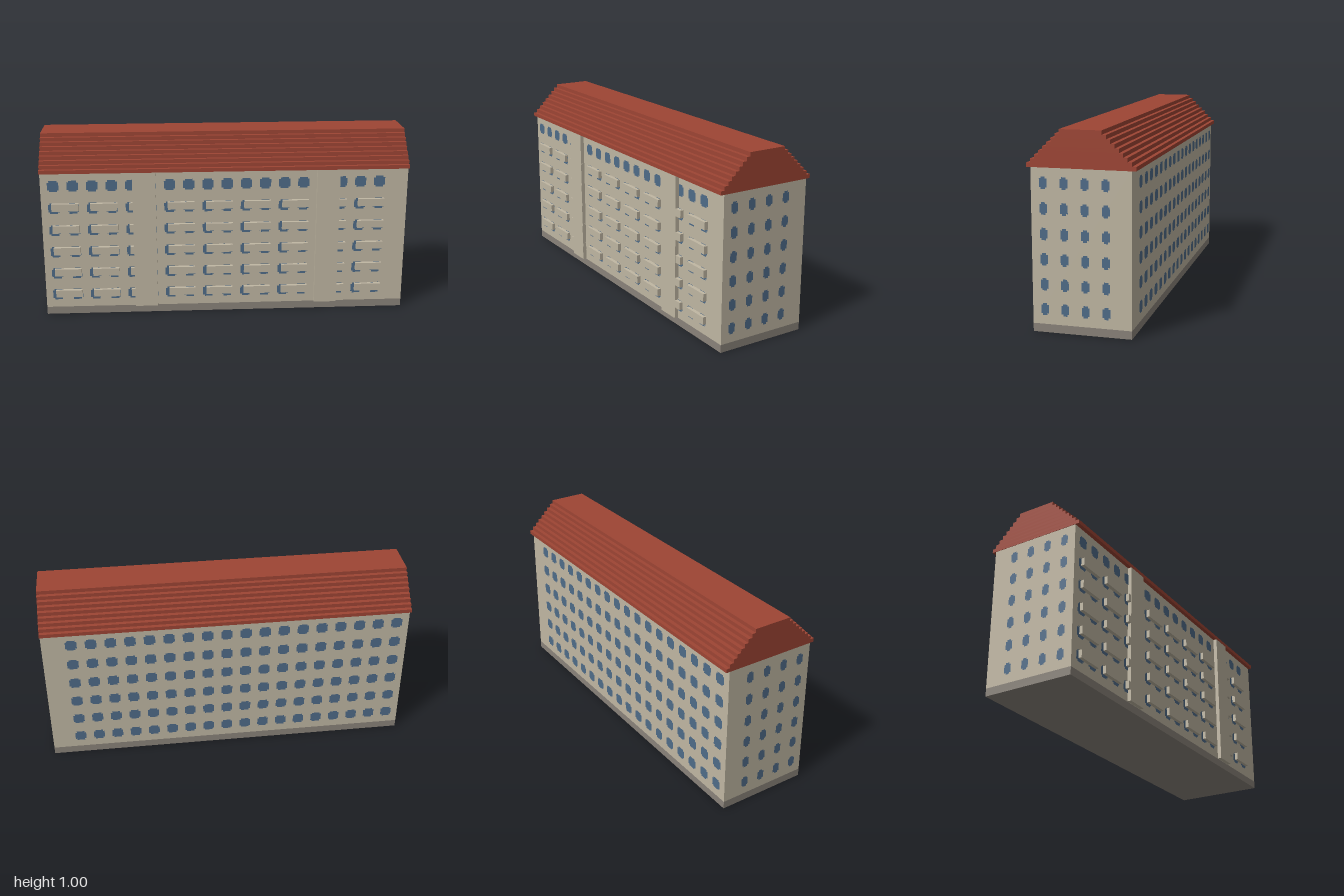
import * as THREE from 'three';
import { mergeGeometries } from 'three/addons/utils/BufferGeometryUtils.js';

const mat = (name, color) => {
  const m = new THREE.MeshStandardMaterial({ color });
  m.name = name;
  return m;
};

export function createModel() {
  const wall = mat('plaster', 0xc0b7a3);
  const roof = mat('roofTile', 0x9e4534);
  const glass = mat('windowBlue', 0x4f6c89);
  const stone = mat('plinthGrey', 0x8a837a);

  const model = new THREE.Group();
  model.name = 'apartmentBlock';

  const add = (name, geometry, material, parent = model) => {
    const mesh = new THREE.Mesh(geometry, material);
    mesh.name = name;
    parent.add(mesh);
    return mesh;
  };
  // Box given by its lower and upper limits on each axis
  const box = (x0, x1, y0, y1, z0, z1) =>
    new THREE.BoxGeometry(x1 - x0, y1 - y0, z1 - z0)
      .translate((x0 + x1) / 2, (y0 + y1) / 2, (z0 + z1) / 2);
  const group = (name) => {
    const g = new THREE.Group();
    g.name = name;
    model.add(g);
    return g;
  };

  // Plinth and main block
  add('plinth', box(-0.998, 0.998, 0, 0.042, -0.25, 0.25), stone);
  add('walls', box(-0.998, 0.998, 0.042, 0.815, -0.25, 0.25), wall);

  // Stepped roof: nine courses, each set back from the one below
  const roofGroup = group('roof');
  const courses = 9, rise = 0.185 / courses;
  for (let i = 0; i < courses; i++) {
    const half = 0.271 - i * 0.0208;
    const y = 0.815 + i * rise;
    add('roofCourse', box(-1, 1, y, y + rise, -half, half), roof, roofGroup);
  }

  // Stair towers standing proud of the front
  for (const x of [-0.505, 0.497]) {
    add('stairTower', box(x, x + 0.125, 0.044, 0.815, 0.24, 0.271), wall);
  }

  // Balconies on the five lower floors
  const balconies = group('balconies');
  for (let floor = 0; floor < 5; floor++) {
    for (let i = 0; i < 9; i++) {
      const x = -0.942 + i * 0.2085, y = 0.105 + floor * 0.125;
      add('balcony', box(x, x + 0.146, y, y + 0.041, 0.245, 0.27), wall, balconies);
    }
  }

  // Window outline with stepped corners
  const pane = (w, h, n) => {
    const a = w / 2, b = h / 2;
    return new THREE.ShapeGeometry(new THREE.Shape([
      [-a + n, -b], [a - n, -b], [a - n, -b + n], [a, -b + n],
      [a, b - n], [a - n, b - n], [a - n, b], [-a + n, b],
      [-a + n, b - n], [-a, b - n], [-a, -b + n], [-a + n, -b + n],
    ].map(([x, y]) => new THREE.Vector2(x, y))));
  };
  // Six floors of windows merged into one facade, turned to face outwards
  const facade = (name, columns, w, angle, distance) => {
    const panes = [];
    for (let floor = 0; floor < 6; floor++) {
      for (const x of columns) {
        panes.push(pane(w, 0.061, 0.009).translate(x, 0.118 + floor * 0.1248, distance));
      }
    }
    add(name, mergeGeometries(panes), glass).rotation.y = angle;
  };

  const longColumns = Array.from({ length: 18 }, (_, i) => -0.93 + i * 0.1042);
  const endColumns = Array.from({ length: 4 }, (_, i) => 0.188 - i * 0.1037);
  facade('frontWindows', longColumns, 0.061, 0, 0.252);
  facade('backWindows', longColumns.map((x) => -x), 0.061, Math.PI, 0.252);
  facade('leftWindows', endColumns.map((z) => -z), 0.039, Math.PI / 2, 1);
  facade('rightWindows', endColumns, 0.039, -Math.PI / 2, 1);

  return model;
}
